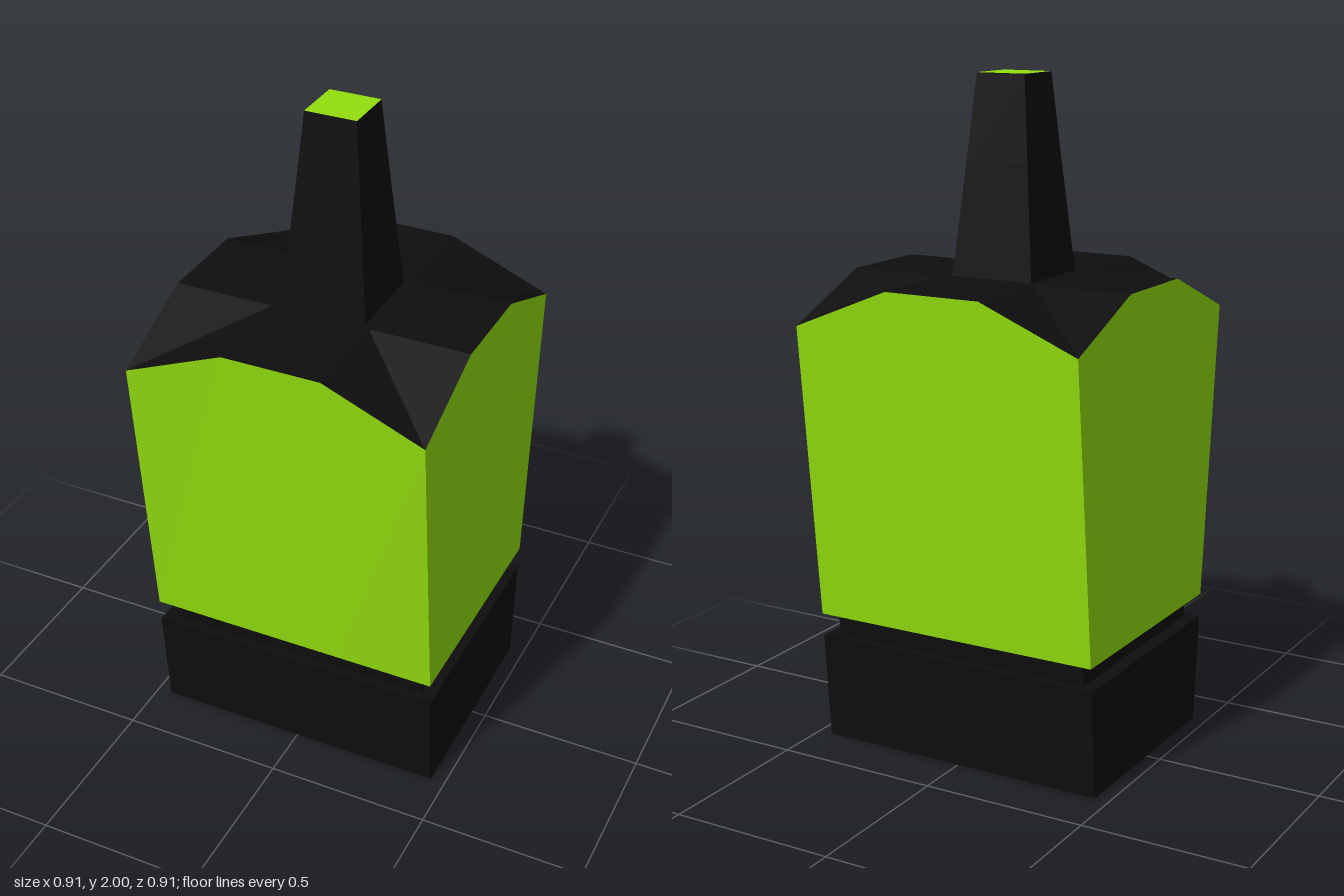
import * as THREE from 'three';

const black = new THREE.MeshStandardMaterial({ color: 0x0e0e0e, flatShading: true });
const green = new THREE.MeshStandardMaterial({ color: 0x92dd0e, flatShading: true });

// Box between heights y0 and y1 whose half sizes change from bottom [x, z] to top [x, z].
function taperedBox(y0, y1, bottom, top) {
  const geo = new THREE.BoxGeometry(2, 1, 2);
  const pos = geo.attributes.position;
  for (let i = 0; i < pos.count; i++) {
    const isTop = pos.getY(i) > 0;
    const [hx, hz] = isTop ? top : bottom;
    pos.setXYZ(i, pos.getX(i) * hx, isTop ? y1 : y0, pos.getZ(i) * hz);
  }
  geo.computeVertexNormals();
  return geo;
}

// Polygons (counter-clockwise, convex) to a flat-shaded geometry.
function fromPolygons(polygons) {
  const points = [];
  for (const p of polygons)
    for (let i = 1; i < p.length - 1; i++) points.push(p[0], p[i], p[i + 1]);
  const geo = new THREE.BufferGeometry().setFromPoints(points);
  geo.computeVertexNormals();
  return geo;
}

export function createModel() {
  const group = new THREE.Group();
  const add = (name, geo, mat) => {
    const mesh = new THREE.Mesh(geo, mat);
    mesh.name = name;
    group.add(mesh);
    return mesh;
  };

  // Base block and recessed neck
  add('base', taperedBox(0, 0.33, [0.455, 0.333], [0.455, 0.36]), black);
  add('neck', taperedBox(0.33, 0.4, [0.415, 0.33], [0.415, 0.337]), black);

  // Body: walls flare front and back, and the top edge drops at each corner
  const A = 0.455, M = 0.15, LOW = 1.295, HIGH = 1.42, FLOOR = 0.4, FLOOR_Z = 0.365;
  const walls = [], roof = [];
  for (let side = 0; side < 4; side++) {
    const v = (x, y, z) => {
      for (let k = 0; k < side; k++) [x, z] = [-z, x];
      return new THREE.Vector3(x, y, z);
    };
    const foot = (p) => new THREE.Vector3(p.x, FLOOR, p.z * FLOOR_Z / A);
    const rim = [v(A, LOW, A), v(M, HIGH, A), v(-M, HIGH, A), v(-A, LOW, A)];
    for (let i = 0; i < 3; i++)
      walls.push([foot(rim[i + 1]), foot(rim[i]), rim[i], rim[i + 1]]);

    // Roof: a flat cross with a sloping hip at each corner
    const inner = v(M, HIGH, M);
    roof.push([rim[0], v(A, HIGH, M), inner], [rim[0], inner, rim[1]]);
    roof.push([rim[1], inner, v(-M, HIGH, M), rim[2]]);
    roof.push([inner, v(M, HIGH, -M), v(0, HIGH, 0)]);
  }
  add('bodyWalls', fromPolygons(walls), green);
  add('bodyRoof', fromPolygons(roof), black);

  const underside = add('bodyUnderside', new THREE.PlaneGeometry(2 * A, 2 * FLOOR_Z), black);
  underside.rotation.x = Math.PI / 2;
  underside.position.y = FLOOR;

  // Tapering spout with a coloured tip
  add('spoutLower', taperedBox(HIGH, 1.75, [0.131, 0.131], [0.1, 0.1]), black);
  add('spoutUpper', taperedBox(1.75, 1.998, [0.1, 0.1], [0.078, 0.078]), black);
  const tip = add('spoutTip', new THREE.PlaneGeometry(0.156, 0.156), green);
  tip.rotation.x = -Math.PI / 2;
  tip.position.y = 2;

  return group;
}
